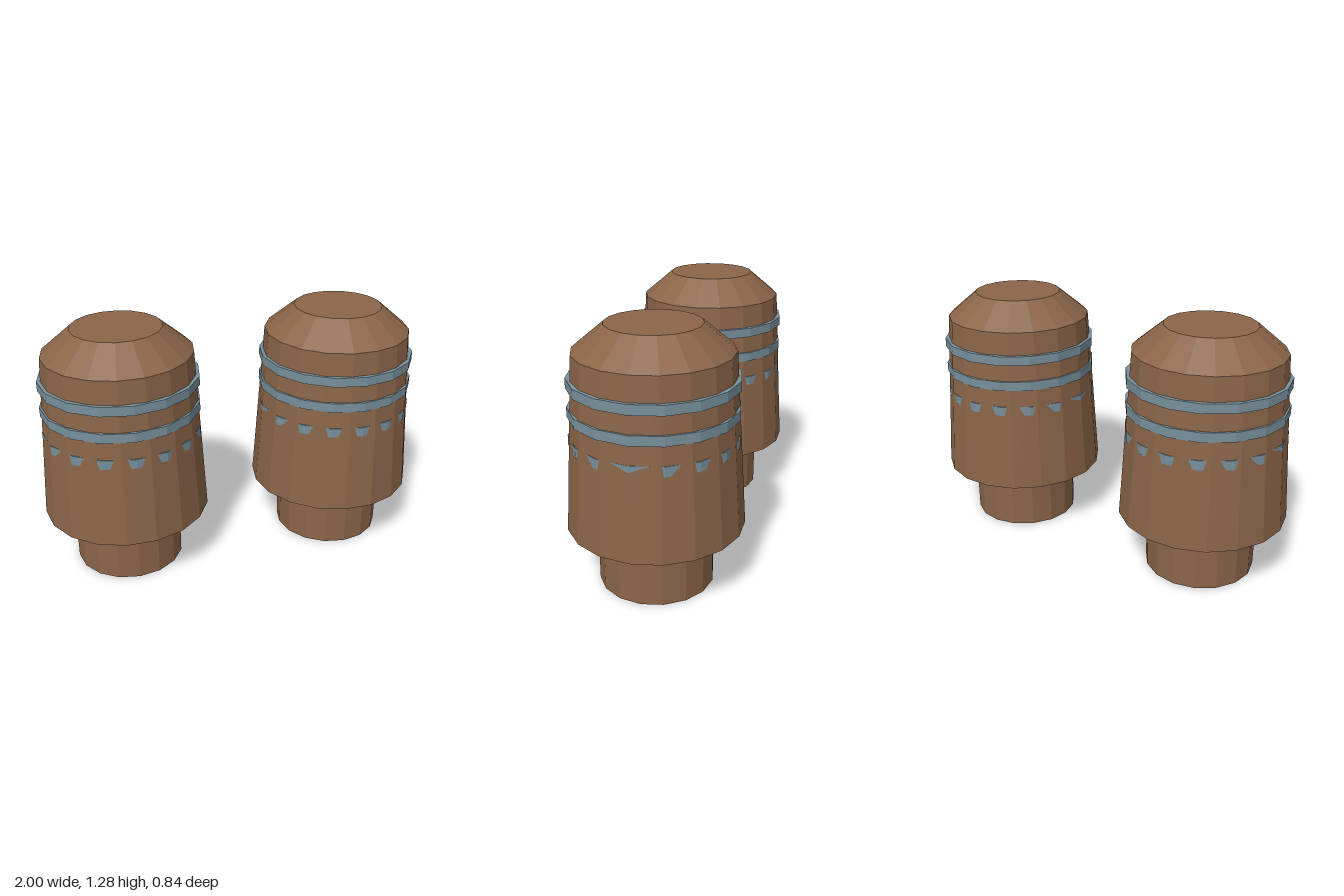
import * as THREE from 'three';

export function createModel() {
  const wood = new THREE.MeshStandardMaterial({ color: 0x8b6549, flatShading: true });
  wood.name = 'brown wood';
  const metal = new THREE.MeshStandardMaterial({ color: 0x78909c, flatShading: true });
  metal.name = 'blue grey metal';

  // Faceted drum between two heights, with a corner on the x axis
  const drum = (name, rTop, rBottom, y0, y1, sides, material, open = false) => {
    const geometry = new THREE.CylinderGeometry(rTop, rBottom, y1 - y0, sides, 1, open, Math.PI / 2);
    const mesh = new THREE.Mesh(geometry, material);
    mesh.position.y = (y0 + y1) / 2;
    mesh.name = name;
    return mesh;
  };

  const createPost = (name, x) => {
    const post = new THREE.Group();
    post.name = name;
    post.position.x = x;
    post.add(
      drum('neck', 0.28, 0.28, 0, 0.245, 16, wood),
      drum('lowerCone', 0.427, 0.28, 0.245, 0.305, 18, wood),
      drum('body', 0.374, 0.427, 0.305, 1.155, 18, wood, true),
      drum('cap', 0.225, 0.374, 1.155, 1.28, 18, wood)
    );
    // Three bands; the lowest just breaks through the tapered body
    [0.715, 0.853, 0.99].forEach((y, i) => {
      post.add(drum(`band${i + 1}`, 0.4005, 0.4005, y, y + 0.048, 16, metal));
    });
    return post;
  };

  const model = new THREE.Group();
  model.name = 'twinPosts';
  model.add(createPost('leftPost', 0.573), createPost('rightPost', -0.573));
  return model;
}
